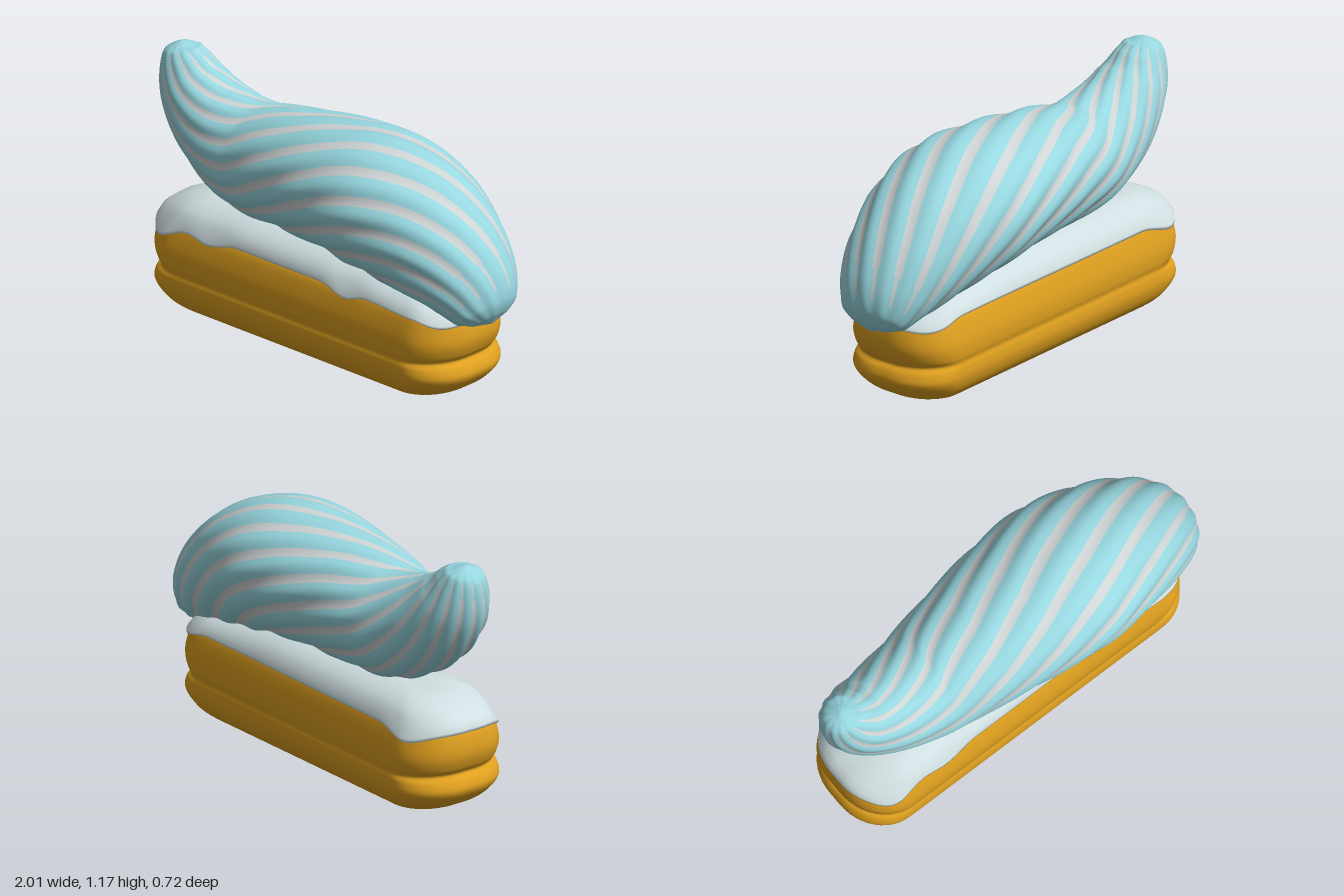
import * as THREE from 'three';

const mat = (name, color, side = THREE.FrontSide) => {
  const m = new THREE.MeshStandardMaterial({ color, side });
  m.name = name;
  return m;
};

// Skin over closed rings of equal length; pick(row, column) chooses the material slot
function loft(rings, pick = () => 0) {
  const n = rings[0].length, slots = [[], []];
  for (let i = 0; i < rings.length - 1; i++) {
    for (let j = 0; j < n; j++) {
      const k = (j + 1) % n, a = i * n + j, b = i * n + k, c = a + n, d = b + n;
      slots[pick(i, j)].push(a, c, b, b, c, d);
    }
  }
  const g = new THREE.BufferGeometry().setFromPoints(rings.flat());
  g.setIndex([...slots[0], ...slots[1]]);
  g.addGroup(0, slots[0].length, 0);
  if (slots[1].length) g.addGroup(slots[0].length, slots[1].length, 1);
  g.computeVertexNormals();
  return g;
}

// Eased lookup in a list of [x, value] pairs
function lookup(table, x) {
  for (let i = 1; i < table.length; i++) {
    if (x <= table[i][0]) {
      const [x0, v0] = table[i - 1], [x1, v1] = table[i];
      return THREE.MathUtils.lerp(v0, v1, THREE.MathUtils.smoothstep(x, x0, x1));
    }
  }
  return table[table.length - 1][1];
}

// Bun outline ring: elliptical corners, long sides finely divided
const CX = -0.035;
function plan(hx, hz, y) {
  const rx = Math.min(0.2, hz * 0.8), rz = hz * 0.86, pts = [];
  [[1, 1], [-1, 1], [-1, -1], [1, -1]].forEach(([sx, sz], q) => {
    for (let i = 0; i <= 12; i++) {
      const a = (q + i / 12) * Math.PI / 2;
      pts.push(new THREE.Vector3(CX + sx * (hx - rx) + rx * Math.cos(a), y, sz * (hz - rz) + rz * Math.sin(a)));
    }
    if (q % 2 === 0) {
      const from = pts[pts.length - 1];
      for (let i = 1; i < 40; i++) {
        pts.push(new THREE.Vector3(THREE.MathUtils.lerp(from.x, 2 * CX - from.x, i / 40), y, from.z));
      }
    }
  });
  return pts;
}
const point = (ring, x, y) => ring.map(() => new THREE.Vector3(x, y, 0));

// Bun profile: half length, height, half width
const bunProfile = new THREE.CatmullRomCurve3([
  [0.55, 0.002, 0.09], [0.7, 0.012, 0.155], [0.79, 0.035, 0.2], [0.86, 0.08, 0.245], [0.903, 0.14, 0.266],
  [0.89, 0.185, 0.264], [0.866, 0.21, 0.258], [0.885, 0.24, 0.264], [0.905, 0.3, 0.264], [0.9, 0.37, 0.248],
  [0.88, 0.42, 0.228], [0.82, 0.45, 0.19],
].map(p => new THREE.Vector3(...p))).getPoints(55);

function makeBun(material) {
  const rings = bunProfile.map(p => plan(p.x, p.z, p.y));
  rings.unshift(point(rings[0], CX, 0));
  rings.push(point(rings[0], CX, 0.46));
  return new THREE.Mesh(loft(rings), material);
}

// Icing with a wavy dripping hem
const hemFront = [[-0.95, 0.41], [-0.82, 0.365], [-0.64, 0.415], [-0.52, 0.397], [-0.35, 0.43], [0.15, 0.43],
  [0.3, 0.397], [0.42, 0.425], [0.7, 0.415], [0.83, 0.385], [0.9, 0.4]];
const hemBack = [[-0.95, 0.41], [-0.8, 0.375], [-0.6, 0.415], [0.6, 0.42], [0.8, 0.385], [0.9, 0.4]];
function makeIcing(material) {
  const layers = [ // half length, half width, rise from hem (0) to top (1)
    [0.875, 0.215, 0], [0.903, 0.24, 0], [0.903, 0.24, 0.1], [0.89, 0.232, 0.3], [0.86, 0.216, 0.52],
    [0.81, 0.188, 0.72], [0.74, 0.145, 0.89], [0.64, 0.09, 0.98],
  ];
  const rings = layers.map(([hx, hz, t]) => plan(hx, hz, t));
  rings.push(point(rings[0], CX, 1));
  for (const ring of rings) {
    for (const p of ring) {
      const hem = lookup(p.z > 0 ? hemFront : hemBack, p.x);
      const top = 0.542 - 0.04 * THREE.MathUtils.smoothstep(p.x, 0.1, 0.8);
      if (p.y < 0.2) p.z *= 1 + Math.max(0, 0.43 - hem) * 1.3;
      p.y = THREE.MathUtils.lerp(hem, top, p.y);
    }
  }
  return new THREE.Mesh(loft(rings), material);
}

// Twisted, ribbed swirl following a bent spine
function makeSwirl(materials) {
  const LOBES = 13, PER = 12, N = LOBES * PER, STEPS = 110;
  // spine x, spine y, radius in the upright plane, radius across
  const stations = [
    [-0.907, 1.165, 0.03, 0.035], [-0.903, 1.14, 0.085, 0.085], [-0.885, 1.085, 0.122, 0.115], [-0.828, 0.98, 0.165, 0.158],
    [-0.685, 0.852, 0.21, 0.203], [-0.46, 0.768, 0.247, 0.253], [-0.18, 0.783, 0.27, 0.302], [0.08, 0.798, 0.287, 0.342],
    [0.32, 0.787, 0.303, 0.36], [0.55, 0.722, 0.286, 0.325], [0.735, 0.622, 0.238, 0.272], [0.852, 0.522, 0.182, 0.215],
    [0.915, 0.443, 0.117, 0.158], [0.935, 0.415, 0.065, 0.095],
  ];
  const spine = new THREE.CatmullRomCurve3(stations.map(s => new THREE.Vector3(s[0], s[1], 0)));
  const radii = new THREE.CatmullRomCurve3(stations.map(s => new THREE.Vector3(s[2], s[3], 0)));
  const rings = [];
  let length = 0, last = spine.getPoint(0);
  for (let i = 0; i <= STEPS; i++) {
    const t = i / STEPS, c = spine.getPoint(t), tan = spine.getTangent(t), r = radii.getPoint(t);
    length += c.distanceTo(last);
    last = c;
    const ring = [];
    for (let j = 0; j < N; j++) {
      const a = j / N * Math.PI * 2 + length * 1.6;
      // rounded blue lobes, with the pale stripe lying in a shallow groove
      const k = 1 - 0.04 * (0.5 + 0.5 * Math.cos(((j % PER) / PER - 0.83) * Math.PI * 2));
      const u = Math.cos(a) * r.x * k;
      ring.push(new THREE.Vector3(c.x - tan.y * u, c.y + tan.x * u, -Math.sin(a) * r.y * k));
    }
    rings.push(ring);
  }
  rings.unshift(point(rings[0], -0.908, 1.175));
  rings.push(point(rings[0], 0.948, 0.397));

  // stripes narrow towards both ends and leave the tips blue
  const pick = (row, j) => {
    const t = row / STEPS, p = j % PER;
    if (t < 0.09 || t > 0.89) return 0;
    return t < 0.16 || t > 0.82 ? +(p === 9 || p === 10) : +(p >= 8);
  };
  return new THREE.Mesh(loft(rings, pick), materials);
}

export function createModel() {
  const group = new THREE.Group();
  group.name = 'frostedBun';
  const gold = mat('golden bun', 0xdfa01f);
  const white = mat('pale icing', 0xd0dfe1, THREE.DoubleSide);
  const blue = mat('blue cream', 0x97d7e0);
  const stripe = mat('pale stripe', 0xced3d3);
  const parts = { bun: makeBun(gold), icing: makeIcing(white), creamSwirl: makeSwirl([blue, stripe]) };
  for (const [name, mesh] of Object.entries(parts)) {
    mesh.name = name;
    group.add(mesh);
  }
  return group;
}
